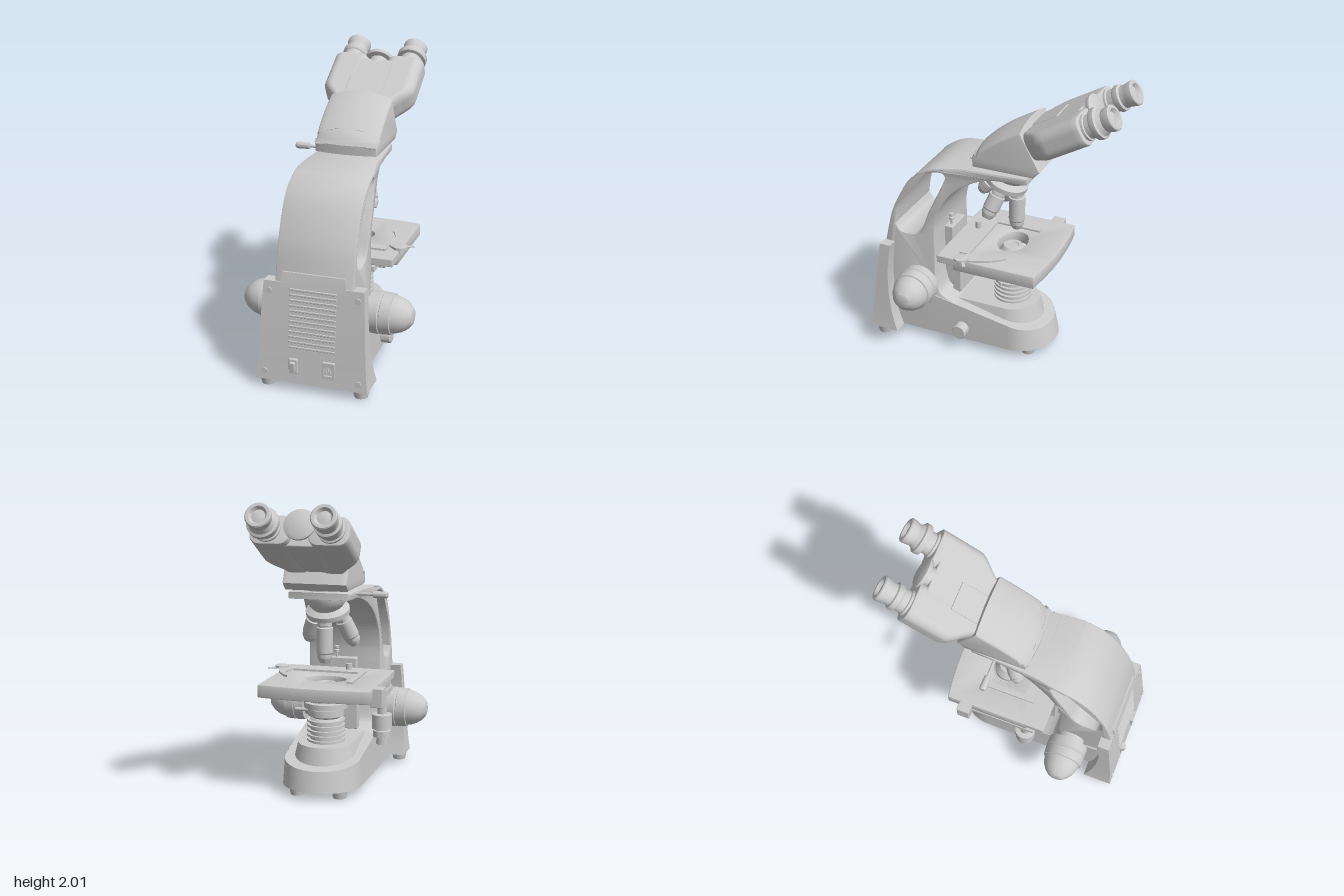
import * as THREE from 'three';
import { toCreasedNormals } from 'three/addons/utils/BufferGeometryUtils.js';
import { RoundedBoxGeometry } from 'three/addons/geometries/RoundedBoxGeometry.js';

const grey = new THREE.MeshStandardMaterial({ color: 0xcccccc, side: THREE.DoubleSide });
const V2 = (p) => p.map(([a, b]) => new THREE.Vector2(a, b));

function add(parent, name, geo, x = 0, y = 0, z = 0) {
  const m = new THREE.Mesh(geo, grey);
  m.name = name;
  m.position.set(x, y, z);
  parent.add(m);
  return m;
}
const box = (w, h, d, r = 0.006) => new RoundedBoxGeometry(w, h, d, 2, r);
const cyl = (r, h, r2 = r, n = 32) => new THREE.CylinderGeometry(r, r2, h, n);
const lathe = (pts, n = 40) => toCreasedNormals(new THREE.LatheGeometry(V2(pts), n), 0.5);

// Move every vertex by a rule
function warp(geo, rule) {
  const p = geo.attributes.position, v = new THREE.Vector3();
  for (let i = 0; i < p.count; i++) {
    rule(v.fromBufferAttribute(p, i));
    p.setXYZ(i, v.x, v.y, v.z);
  }
  return geo;
}
const extrude = (shape, depth, bevel = 0, steps = 1) => new THREE.ExtrudeGeometry(shape, {
  depth: depth - 2 * bevel, steps, curveSegments: 24, bevelEnabled: bevel > 0,
  bevelSize: bevel, bevelThickness: bevel, bevelOffset: -bevel, bevelSegments: 2,
}).translate(0, 0, bevel);
// Side profile (z, y) spread across x; plan outline (x, z) hanging down from a height
const sideways = (shape, width, bevel, steps) =>
  extrude(shape, width, bevel, steps).translate(0, 0, -width / 2).rotateY(-Math.PI / 2);
const plan = (shape, top, h, bevel) => extrude(shape, h, bevel).rotateX(Math.PI / 2).translate(0, top, 0);

// Solid from rows of [y, back z, front z, half width]
function rowLoft(rows) {
  const pos = [], idx = [], n = rows.length;
  for (const [y, zb, zf, w] of rows) pos.push(-w, y, zb, w, y, zb, w, y, zf, -w, y, zf);
  for (let i = 0; i < n - 1; i++) for (let k = 0; k < 4; k++) {
    const a = i * 4 + k, b = i * 4 + (k + 1) % 4;
    idx.push(a, b, b + 4, a, b + 4, a + 4);
  }
  const t = (n - 1) * 4;
  idx.push(0, 3, 2, 0, 2, 1, t, t + 1, t + 2, t, t + 2, t + 3);
  const g = new THREE.BufferGeometry();
  g.setAttribute('position', new THREE.Float32BufferAttribute(pos, 3));
  g.setIndex(idx);
  return toCreasedNormals(g, 0.5);
}

function roundedRect(x0, x1, y0, y1, r) {
  const s = new THREE.Shape();
  s.moveTo(x0 + r, y0).lineTo(x1 - r, y0).absarc(x1 - r, y0 + r, r, -Math.PI / 2, 0);
  s.absarc(x1 - r, y1 - r, r, 0, Math.PI / 2).absarc(x0 + r, y1 - r, r, Math.PI / 2, Math.PI);
  s.absarc(x0 + r, y0 + r, r, Math.PI, Math.PI * 1.5);
  return s;
}

function buildStand(root) {
  // Curved arm with handle opening
  const arm = new THREE.Shape();
  arm.moveTo(0.83, 0.06).lineTo(0.8, 0.5).lineTo(0.78, 0.74);
  arm.splineThru(V2([[0.73, 0.95], [0.66, 1.11], [0.58, 1.235], [0.49, 1.315], [0.38, 1.365], [0.2, 1.39]]));
  arm.lineTo(-0.26, 1.39).lineTo(-0.26, 1.345).lineTo(-0.2, 1.335);
  arm.splineThru(V2([[0, 1.325], [0.15, 1.275], [0.27, 1.185], [0.355, 1.06], [0.395, 0.93], [0.4, 0.8]]));
  arm.lineTo(0.4, 0.5).splineThru(V2([[0.375, 0.4], [0.33, 0.36], [0.22, 0.32]]));
  arm.lineTo(0.22, 0.06);
  const hole = new THREE.Path();
  const loop = V2([[0.7, 0.88], [0.67, 1.04], [0.58, 1.22], [0.48, 1.3], [0.35, 1.335], [0.315, 1.3],
    [0.36, 1.19], [0.44, 1.02], [0.5, 0.87], [0.56, 0.825], [0.66, 0.825]]);
  hole.setFromPoints(new THREE.SplineCurve([...loop, loop[0]]).getPoints(60));
  arm.holes.push(hole);
  const armGeo = warp(sideways(arm, 0.53, 0.012), (v) => {
    if (v.y > 0.6) v.x *= THREE.MathUtils.lerp(0.79, 1, THREE.MathUtils.smoothstep(v.z, -0.05, 0.42));
  });
  add(root, 'arm', toCreasedNormals(armGeo, 0.5));

  // Base with round nose and sloping top
  const foot = new THREE.Shape();
  foot.moveTo(0.28, 0.7).lineTo(0.275, -0.15).absellipse(0, -0.15, 0.275, 0.26, 0, -Math.PI, true);
  foot.lineTo(-0.28, 0.7);
  add(root, 'base', toCreasedNormals(warp(plan(foot, 1, 0.94), (v) => {
    if (v.y < 0.5) return;
    if (v.z < -0.15) { v.z = -0.15 + (v.z + 0.15) * 0.87; v.x *= 0.96; }
    v.y = 0.278 + 0.205 * v.z;
  }), 0.5));

  // Raised platform under the condenser
  const deck = new THREE.Shape();
  deck.moveTo(0.19, 0.3).lineTo(0.19, -0.08).absarc(0, -0.08, 0.19, 0, -Math.PI, true).lineTo(-0.19, 0.3);
  add(root, 'platform', toCreasedNormals(warp(plan(deck, 0.335, 0.17), (v) => {
    if (v.y < 0.25) { v.x *= 1.22; if (v.z < -0.08) v.z = -0.08 + (v.z + 0.08) * 1.22; }
  }), 0.5));

  for (const s of [-1, 1]) for (const [x, z] of [[0.32, 0.79], [0.15, -0.26]])
    add(root, 'foot', cyl(0.058, 0.065, 0.045), s * x, 0.0325, z);

  // Flared rear housing
  add(root, 'rearHousing', rowLoft([[0.06, 0.865, 0.66, 0.385], [0.13, 0.857, 0.685, 0.376], [0.2, 0.85, 0.705, 0.37],
    [0.35, 0.835, 0.728, 0.36], [0.5, 0.818, 0.735, 0.352], [0.65, 0.8, 0.722, 0.345], [0.73, 0.79, 0.71, 0.338]]));
  add(root, 'rearPanelTop', rowLoft([[0.7, 0.798, 0.7, 0.225], [0.75, 0.79, 0.7, 0.218], [0.8, 0.78, 0.7, 0.212]]));
  const backZ = (y) => 0.872 - 0.11 * y;
  for (let i = 0; i < 12; i++) {
    const y = 0.305 + i * 0.035;
    add(root, 'ventSlat', box(0.32, 0.014, 0.014, 0.004), 0, y, backZ(y));
  }
  for (const [x, y] of [[0.3, 0.665], [0.32, 0.115]]) for (const s of [-1, 1])
    add(root, 'screw', cyl(0.021, 0.02, 0.021, 20), s * x, y, backZ(y) - 0.004).rotation.x = Math.PI / 2;
  add(root, 'switchFrame', box(0.06, 0.1, 0.03), -0.12, 0.18, 0.852);
  add(root, 'powerSwitch', box(0.035, 0.065, 0.03), -0.12, 0.18, 0.868).rotation.x = 0.12;
  const socket = roundedRect(-0.042, 0.042, -0.058, 0.058, 0.008);
  socket.holes.push(new THREE.Path().setFromPoints(V2([[-0.03, -0.035], [0.03, -0.035], [0.03, 0.015], [0.018, 0.03], [-0.018, 0.03], [-0.03, 0.015]])));
  add(root, 'powerSocket', extrude(socket, 0.03), 0.12, 0.18, 0.838);
  for (const dx of [-0.014, 0, 0.014]) add(root, 'socketPin', box(0.005, 0.016, 0.02, 0.002), 0.12 + dx, dx ? 0.17 : 0.184, 0.855);

  // Focus knobs, both sides
  for (const s of [-1, 1]) {
    add(root, 'focusKnob', lathe([[0.1, 0.24], [0.1, 0.31], [0.14, 0.31], [0.143, 0.37], [0.136, 0.375], [0.136, 0.382],
      [0.141, 0.385], [0.137, 0.45], [0.127, 0.453], [0.122, 0.48], [0.11, 0.515], [0.088, 0.55], [0.06, 0.575], [0.055, 0.58], [0.03, 0.587], [0, 0.588]]),
      0, 0.47, 0.497).rotation.z = -s * Math.PI / 2;
  }
  add(root, 'lightKnob', lathe([[0.035, 0.26], [0.035, 0.285], [0.052, 0.285], [0.052, 0.345], [0.046, 0.352], [0, 0.352]]), 0, 0.155, 0.19).rotation.z = -Math.PI / 2;
}

function buildStage(root) {
  // Stage plate with light opening and bowed far edge
  const s = new THREE.Shape();
  s.moveTo(-0.385, 0.2).lineTo(-0.385, -0.385).quadraticCurveTo(0, -0.45, 0.385, -0.385);
  s.lineTo(0.385, 0.2);
  s.holes.push(new THREE.Path().absellipse(0, -0.075, 0.14, 0.1, 0, Math.PI * 2));
  add(root, 'stage', toCreasedNormals(plan(s, 0.775, 0.09, 0.008), 0.5));
  add(root, 'stageTopPlate', box(0.77, 0.055, 0.14), 0, 0.748, 0.255);
  add(root, 'stageUnderPlate', box(0.5, 0.04, 0.28), 0, 0.672, 0.14);
  add(root, 'stageSlide', box(0.08, 0.13, 0.09), -0.41, 0.71, -0.25);
  add(root, 'stageSlideRail', box(0.04, 0.04, 0.5), -0.37, 0.67, 0);
  add(root, 'rail', box(0.2, 0.47, 0.07), 0, 0.605, 0.375);
  add(root, 'stageCarriage', box(0.26, 0.42, 0.06), 0, 0.55, 0.3);
  add(root, 'stopScrew', lathe([[0.008, 0], [0.008, 0.04], [0.018, 0.04], [0.018, 0.055], [0.009, 0.06], [0.016, 0.065], [0.016, 0.085], [0, 0.085]], 20), 0.05, 0.835, 0.37);

  // Hanging stage control
  add(root, 'stageControl', lathe([[0, 0.275], [0.04, 0.275], [0.04, 0.33], [0.062, 0.33], [0.062, 0.375], [0.05, 0.378], [0.05, 0.385],
    [0.07, 0.388], [0.07, 0.49], [0.034, 0.495], [0.034, 0.63], [0.055, 0.632], [0.055, 0.67]]), -0.335, 0, 0.175);

  // Slide holder with curved finger
  const bracket = new THREE.Shape(V2([[-0.22, -0.2], [-0.18, -0.2], [-0.18, 0.12], [0.3, 0.12], [0.3, 0.19], [-0.22, 0.19]]));
  add(root, 'slideHolder', plan(bracket, 0.788, 0.016));
  const finger = new THREE.Shape();
  finger.moveTo(0.26, -0.14).quadraticCurveTo(0.36, -0.06, 0.4, 0.12).lineTo(0.36, 0.16);
  finger.quadraticCurveTo(0.27, 0.12, 0.31, 0.03).quadraticCurveTo(0.32, -0.02, 0.26, -0.14);
  add(root, 'slideFinger', plan(finger, 0.795, 0.014));
  add(root, 'fingerPivot', lathe([[0.025, 0.76], [0.025, 0.785], [0.05, 0.788], [0.05, 0.804], [0.02, 0.808], [0, 0.808]]), 0.385, 0, 0.14);
  add(root, 'fingerTab', box(0.09, 0.01, 0.025, 0.004), 0.43, 0.79, 0.105).rotation.y = 0.6;
  add(root, 'holderScrew', cyl(0.022, 0.05), -0.08, 0.8, 0.225);

  // Condenser and ribbed lamp column
  const lamp = [[0, 0.33], [0.11, 0.33]];
  for (let i = 0; i < 5; i++) {
    const y = 0.345 + i * 0.034;
    lamp.push([0.108, y], [0.13, y], [0.13, y + 0.014], [0.108, y + 0.014]);
  }
  lamp.push([0.1, 0.505], [0, 0.505]);
  add(root, 'lampColumn', lathe(lamp), 0, 0, -0.075);
  add(root, 'condenser', lathe([[0, 0.51], [0.1, 0.51], [0.125, 0.525], [0.125, 0.57], [0.11, 0.572], [0.11, 0.58], [0.15, 0.58],
    [0.15, 0.618], [0.115, 0.622], [0.115, 0.665], [0.1, 0.67], [0.1, 0.7], [0.065, 0.75], [0.04, 0.75], [0.035, 0.742], [0, 0.745]]), 0, 0, -0.075);
  add(root, 'condenserLever', cyl(0.012, 0.12, 0.012, 16), 0.16, 0.548, -0.075).rotation.z = Math.PI / 2;
  add(root, 'condenserCarrier', box(0.14, 0.045, 0.3), 0, 0.6, 0.15);
}

function buildNosepiece(root) {
  add(root, 'noseMount', lathe([[0, 1.225], [0.07, 1.235], [0.11, 1.275], [0.135, 1.31], [0.14, 1.345]]), 0, 0, -0.075);
  const nose = new THREE.Group();
  nose.name = 'nosepiece';
  nose.position.set(0, 1.24, -0.03);
  nose.rotation.x = -0.35;
  root.add(nose);
  add(nose, 'turret', lathe([[0, -0.06], [0.07, -0.06], [0.13, -0.025], [0.15, -0.018], [0.15, 0.015], [0.14, 0.02], [0.1, 0.045], [0, 0.05]]));
  [0.3, 0.25, 0.16, 0.23].forEach((len, i) => {
    const arm = new THREE.Group();
    arm.name = 'objectiveMount';
    arm.rotation.y = i * Math.PI / 2;
    nose.add(arm);
    add(arm, 'objective', lathe([[0.05, 0.02], [0.05, -0.045], [0.044, -0.048], [0.044, -0.056], [0.056, -0.06], [0.056, -len + 0.07],
      [0.05, -len + 0.06], [0.05, -len + 0.035], [0.032, -len], [0.015, -len], [0, -len + 0.006]], 32), 0, -0.02, -0.085).rotation.x = 0.35;
  });
}

function buildHead(root) {
  add(root, 'neck', cyl(0.145, 0.04), 0, 1.4, -0.07);
  // Prism head with domed top
  const s = new THREE.Shape();
  s.moveTo(0.15, 1.41).lineTo(0.155, 1.475).splineThru(V2([[0.11, 1.54], [0.03, 1.61], [-0.07, 1.68], [-0.21, 1.76]]));
  s.lineTo(-0.35, 1.46).lineTo(-0.3, 1.41);
  add(root, 'head', toCreasedNormals(warp(sideways(s, 0.44, 0.012, 12), (v) => {
    const k = (v.x / 0.22) ** 2;
    if (v.y > 1.5) v.y -= 0.045 * k;
    if (v.z > 0.08) v.z -= 0.025 * k;
  }), 0.6));
  add(root, 'headTrim', box(0.42, 0.012, 0.04, 0.004), 0, 1.468, 0.125);

  // Inclined binocular tube: local y runs along the optical axis
  const bino = new THREE.Group();
  bino.name = 'binocular';
  bino.position.set(0, 1.61, -0.262);
  bino.rotation.x = -Math.PI / 3;
  root.add(bino);
  for (const d of [-1, 1]) {
    const sec = d > 0 ? roundedRect(0.06, 0.325, -0.1, 0.1, 0.07) : roundedRect(-0.325, -0.06, -0.1, 0.1, 0.07);
    const g = warp(extrude(sec, 0.46, 0.01, 12).rotateX(-Math.PI / 2), (v) => {
      v.x *= THREE.MathUtils.lerp(0.64, 1, THREE.MathUtils.smoothstep(v.y, -0.02, 0.17));
    });
    add(bino, 'tubeHousing', toCreasedNormals(g, 0.6));
    const R = d > 0 ? 0.105 : 0.09;
    add(bino, 'eyepiece', lathe([[0.088, 0.44], [0.088, 0.475], [0.078, 0.48], [0.078, 0.52], [R - 0.005, 0.525], [R, 0.535], [R, 0.565],
      [R - 0.015, 0.572], [0.075, 0.6], [0.078, 0.61], [0.085, 0.645], [0.085, 0.66], [0.078, 0.667], [0.06, 0.667], [0.045, 0.645], [0.025, 0.65], [0, 0.652]]), d * 0.21, 0, 0);
  }
  add(bino, 'centreBridge', box(0.28, 0.42, 0.19, 0.01), 0, 0.2, 0.004);
  add(bino, 'bridgeCover', box(0.2, 0.2, 0.02, 0.005), -0.04, 0.12, 0.096);
  add(bino, 'hinge', lathe([[0.07, 0.38], [0.07, 0.44], [0.1, 0.445], [0.105, 0.455], [0.105, 0.47], [0.09, 0.478], [0, 0.482]]), 0, 0, 0.035);

  // Beam lever
  add(root, 'lever', lathe([[0.01, 0.15], [0.01, 0.33], [0.022, 0.335], [0.024, 0.42], [0.018, 0.432], [0, 0.432]], 24), 0, 1.37, -0.09).rotation.z = Math.PI / 2;
}

export function createModel() {
  const root = new THREE.Group();
  root.name = 'microscope';
  buildStand(root);
  buildStage(root);
  buildNosepiece(root);
  buildHead(root);
  return root;
}
